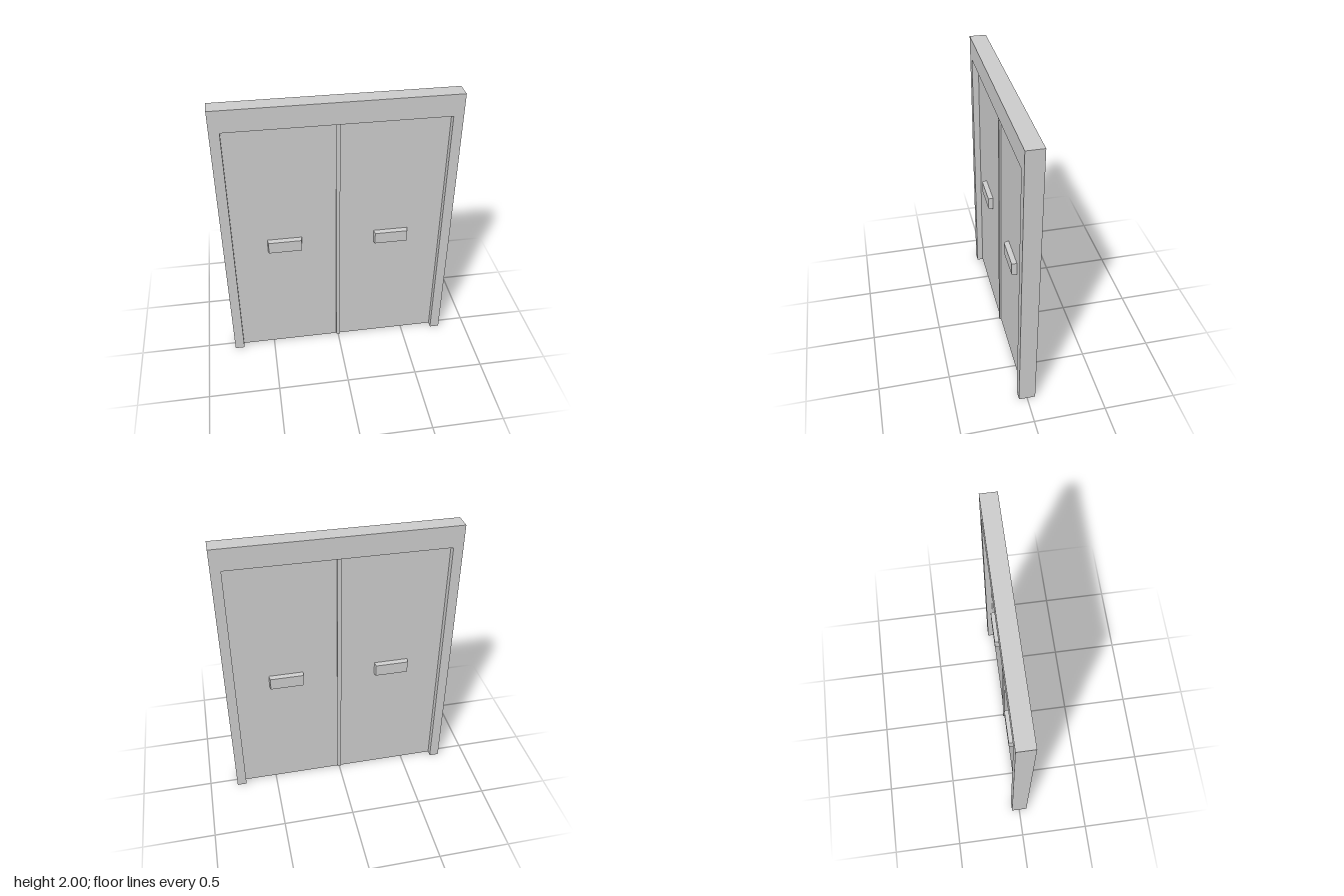
import * as THREE from 'three';

const W = 0.8, H = 2, DEPTH = 0.115;      // frame half width, height, depth
const IN_W = 0.733, IN_H = 1.85;          // door opening
const LEAF = 0.025;                       // leaf thickness

export function createModel() {
  const model = new THREE.Group();
  model.name = 'doubleDoor';
  const mat = new THREE.MeshStandardMaterial({ color: 0xcccccc, flatShading: true });

  function add(name, geometry, x = 0, y = 0, z = 0) {
    const mesh = new THREE.Mesh(geometry, mat);
    mesh.name = name;
    mesh.position.set(x, y, z);
    model.add(mesh);
    return mesh;
  }

  // Frame: two jambs and a header in one outline, open at the floor
  const outline = new THREE.Shape([
    [-W, 0], [-IN_W, 0], [-IN_W, IN_H], [IN_W, IN_H],
    [IN_W, 0], [W, 0], [W, H], [-W, H],
  ].map(([x, y]) => new THREE.Vector2(x, y)));
  add('frame', new THREE.ExtrudeGeometry(outline, { depth: DEPTH, bevelEnabled: false }), 0, 0, -DEPTH / 2);

  // Push plate: a shallow block whose outer face is slightly smaller than its base
  const plate = new THREE.BoxGeometry(0.24, 0.096, 0.034);
  const p = plate.attributes.position;
  for (let i = 0; i < p.count; i++) {
    if (p.getZ(i) > 0) {
      p.setX(i, p.getX(i) - Math.sign(p.getX(i)) * 0.005);
      p.setY(i, p.getY(i) - Math.sign(p.getY(i)) * 0.005);
    }
  }
  plate.computeVertexNormals();

  // Leaves, with a plate on both faces
  for (const [side, s] of [['left', 1], ['right', -1]]) {
    add(side + 'Leaf', new THREE.BoxGeometry(IN_W, IN_H, LEAF), s * IN_W / 2, IN_H / 2, 0);
    add(side + 'FrontHandle', plate, s * 0.375, 0.926, LEAF / 2 + 0.017);
    add(side + 'BackHandle', plate, s * 0.375, 0.926, -LEAF / 2 - 0.017).rotation.y = Math.PI;
  }

  // Strip covering the joint between the leaves
  add('centreStrip', new THREE.BoxGeometry(0.027, IN_H, 0.048), 0, IN_H / 2, 0);

  return model;
}
